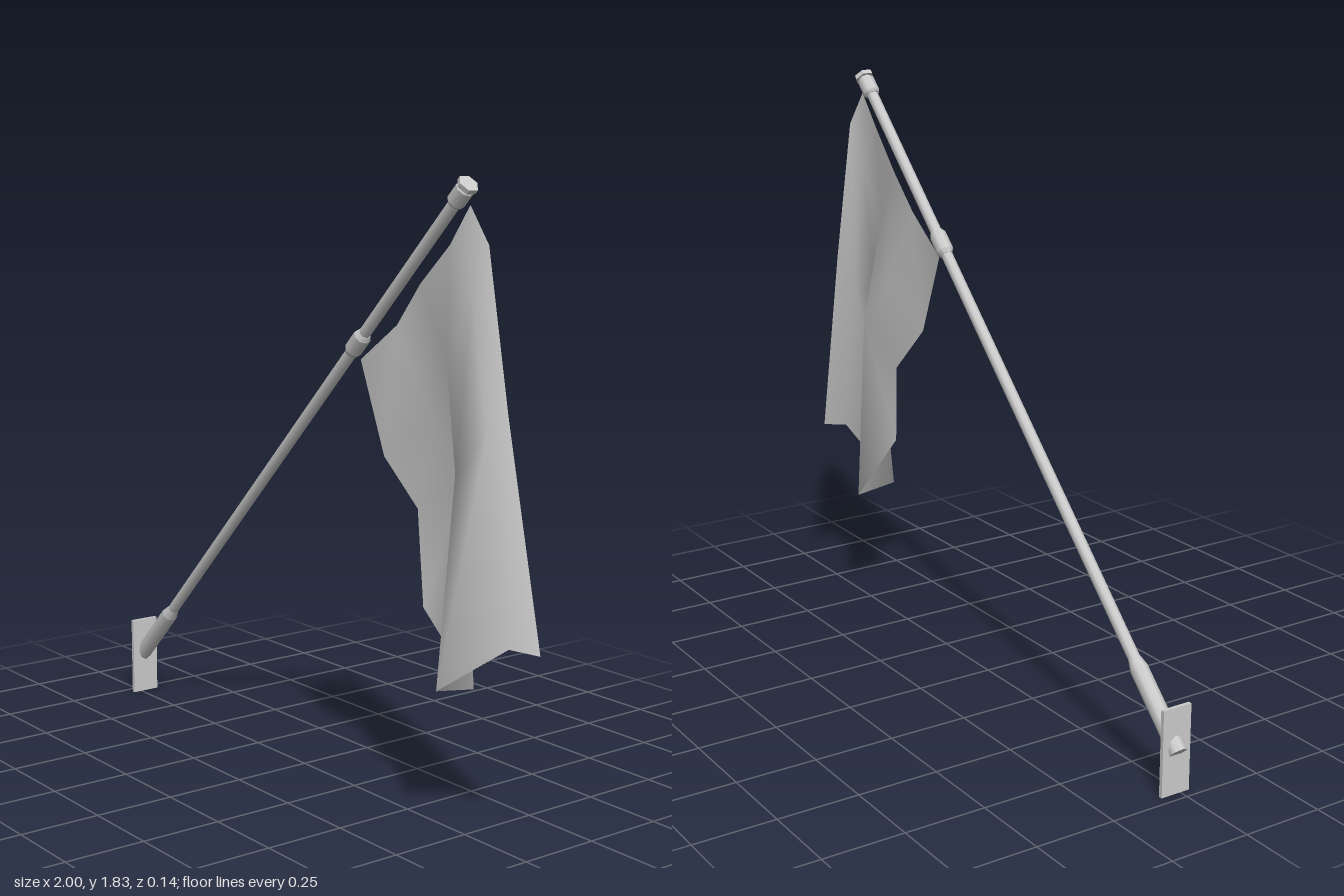
import * as THREE from 'three';

const Z = -0.02; // depth of the pole axis

const grey = (opts = {}) => new THREE.MeshStandardMaterial({ color: 0xcccccc, ...opts });

// Tapered tube on the 45 degree pole axis (y = x + 1.11), from x0 to x1
function poleSection(name, x0, x1, r0, r1, sides = 8) {
  const length = (x1 - x0) * Math.SQRT2;
  const mesh = new THREE.Mesh(
    new THREE.CylinderGeometry(r1, r0, length, sides),
    grey({ flatShading: sides < 8 })
  );
  const mid = (x0 + x1) / 2;
  mesh.position.set(mid, mid + 1.11, Z);
  mesh.rotation.z = -Math.PI / 4;
  mesh.name = name;
  return mesh;
}

// Ring with chamfered ends
function collar(name, x0, x1, r, rEnd, chamfer) {
  const group = new THREE.Group();
  group.name = name;
  group.add(
    poleSection(name + 'Lower', x0, x0 + chamfer, rEnd, r),
    poleSection(name + 'Middle', x0 + chamfer, x1 - chamfer, r, r),
    poleSection(name + 'Upper', x1 - chamfer, x1, r, rEnd)
  );
  return group;
}

// Cloth as a sheet hanging from the pole: each row runs from the lower corner to the upper one
function createCloth() {
  const rows = [
    [[0.245, 1.295, -0.02], [0.42, 1.41, -0.01], [0.49, 1.53, -0.035], [0.64, 1.645, -0.01], [0.71, 1.755, -0.02]],
    [[0.38, 1.03, 0.0], [0.55, 1.16, -0.03], [0.65, 1.33, 0.005], [0.735, 1.53, -0.01], [0.77, 1.65, -0.035]],
    [[0.49, 0.89, -0.035], [0.70, 1.01, -0.035], [0.71, 1.03, 0.02], [0.79, 1.14, -0.02], [0.83, 1.2, -0.06]],
    [[0.56, 0.62, 0.0], [0.70, 0.40, -0.07], [0.70, 0.42, 0.07], [0.925, 0.58, 0.01], [1.0, 0.57, -0.035]],
  ];
  const cols = rows[0].length;
  const index = [];
  for (let r = 0; r < rows.length - 1; r++) {
    for (let c = 0; c < cols - 1; c++) {
      const a = r * cols + c, b = a + cols;
      index.push(a, b, a + 1, b, b + 1, a + 1);
    }
  }
  const geometry = new THREE.BufferGeometry();
  geometry.setAttribute('position', new THREE.Float32BufferAttribute(rows.flat(2), 3));
  geometry.setIndex(index);
  geometry.computeVertexNormals();
  const mesh = new THREE.Mesh(geometry, grey({ side: THREE.DoubleSide }));
  mesh.name = 'cloth';
  return mesh;
}

export function createModel() {
  const model = new THREE.Group();
  model.name = 'wallFlag';

  // Wall plate
  const plate = new THREE.Mesh(new THREE.BoxGeometry(0.012, 0.26, 0.095), grey());
  plate.position.set(-0.965, 0.13, -0.018);
  plate.name = 'wallPlate';
  model.add(plate);

  // Socket and pole
  model.add(
    poleSection('socket', -0.981, -0.80, 0.027, 0.027),
    poleSection('socketTaper', -0.80, -0.775, 0.027, 0.018),
    poleSection('pole', -0.80, 0.69, 0.018, 0.018)
  );

  // Rings that hold the cloth, and the cap on the tip
  model.add(
    collar('lowerRing', 0.20, 0.262, 0.027, 0.02, 0.01),
    collar('upperRing', 0.645, 0.692, 0.027, 0.021, 0.006),
    poleSection('tipCap', 0.692, 0.702, 0.031, 0.031, 6)
  );

  model.add(createCloth());
  return model;
}
